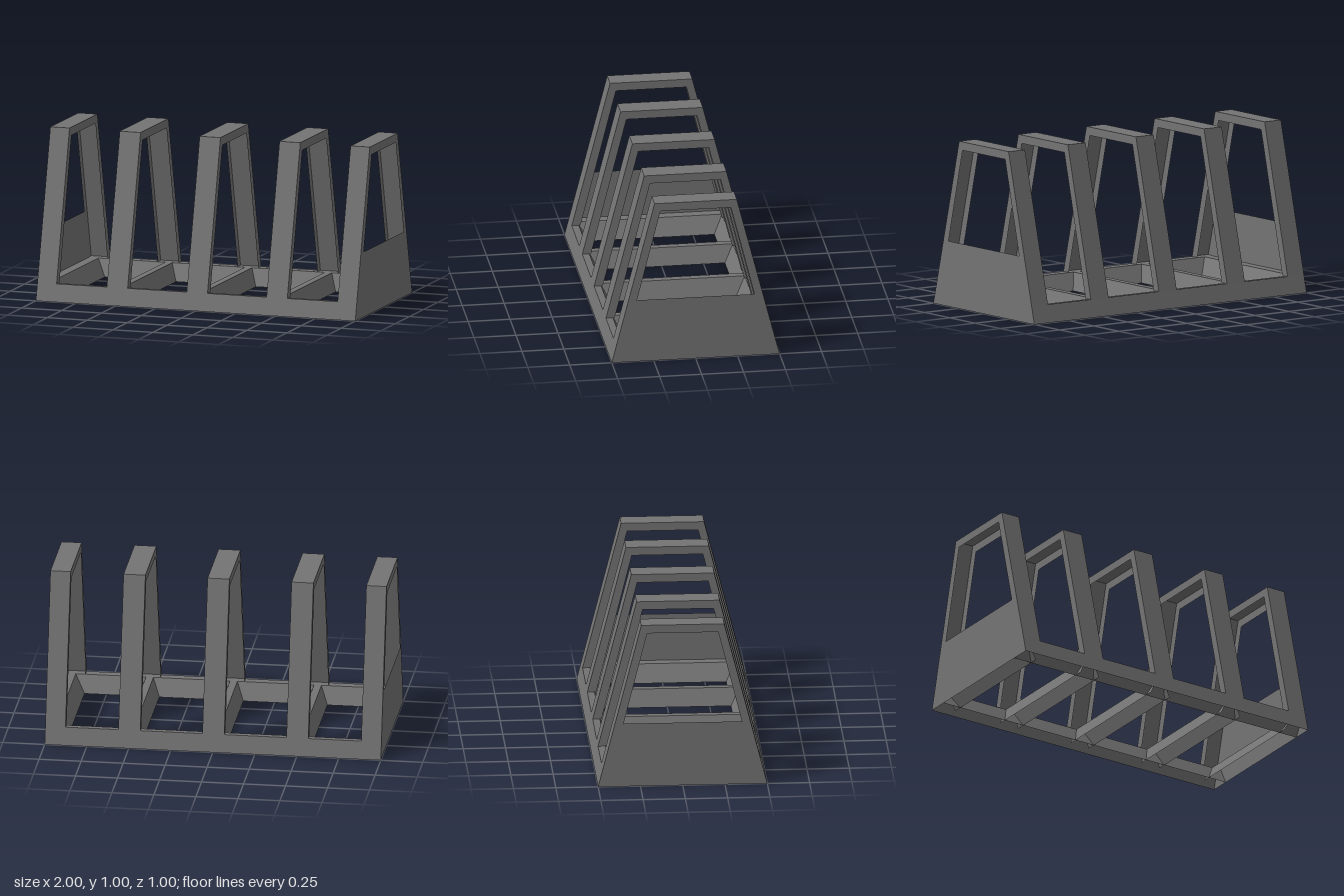
import * as THREE from 'three';

const material = new THREE.MeshStandardMaterial({
  color: 0x747474, flatShading: true, side: THREE.DoubleSide,
});

// Thin folded sheet through a list of equal-length open profiles of [x, y, z] points
function sheet(name, profiles) {
  const points = [];
  for (let r = 0; r + 1 < profiles.length; r++) {
    const p = profiles[r], q = profiles[r + 1];
    for (let i = 0; i + 1 < p.length; i++) {
      points.push(p[i], p[i + 1], q[i + 1], p[i], q[i + 1], q[i]);
    }
  }
  const geometry = new THREE.BufferGeometry();
  geometry.setAttribute('position', new THREE.Float32BufferAttribute(points.flat(), 3));
  geometry.computeVertexNormals();
  const mesh = new THREE.Mesh(geometry, material);
  mesh.name = name;
  return mesh;
}

// Channel-shaped arch, open on its inner side: two leaning posts and a top bar
function arch(name, x0, x1) {
  const outer = [[0.473, 0.105], [0.245, 1], [-0.245, 1], [-0.473, 0.105]];
  const inner = [[0.421, 0.105], [0.21, 0.95], [-0.21, 0.95], [-0.421, 0.105]];
  return sheet(name, outer.map(([z, y], i) => [
    [x0, inner[i][1], inner[i][0]], [x0, y, z],
    [x1, y, z], [x1, inner[i][1], inner[i][0]],
  ]));
}

// Channel along z, open below, from a profile of [x, y] points
function floorBar(name, profile) {
  return sheet(name, [-0.43, 0.43].map((z) => profile.map(([x, y]) => [x, y, z])));
}

export function createModel() {
  const model = new THREE.Group();

  // Three middle ribs with their floor bars
  for (const x of [-0.5, 0, 0.5]) {
    model.add(arch('middleRib', x - 0.065, x + 0.065));
    model.add(floorBar('middleFloorBar', [
      [x - 0.065, 0], [x - 0.022, 0.102], [x + 0.022, 0.102], [x + 0.065, 0],
    ]));
  }

  for (const s of [-1, 1]) {
    // End ribs with floor bar and low panel
    model.add(arch('endRib', s * 0.88, s));
    model.add(floorBar('endFloorBar', [[s, 0.102], [s * 0.94, 0.102], [s * 0.88, 0]]));
    model.add(sheet('endPanel', [
      [[s, 0, 0.5], [s, 0, -0.5]],
      [[s, 0.39, 0.4], [s, 0.39, -0.4]],
    ]));

    // Long base rails: leaning outer wall, flat top, sloped inner wall
    const profile = [[0.5, 0], [0.473, 0.105], [0.43, 0.102], [0.376, 0]];
    model.add(sheet(s > 0 ? 'frontRail' : 'backRail',
      [-1, 1].map((x) => profile.map(([z, y]) => [x, y, s * z]))));
  }
  return model;
}
